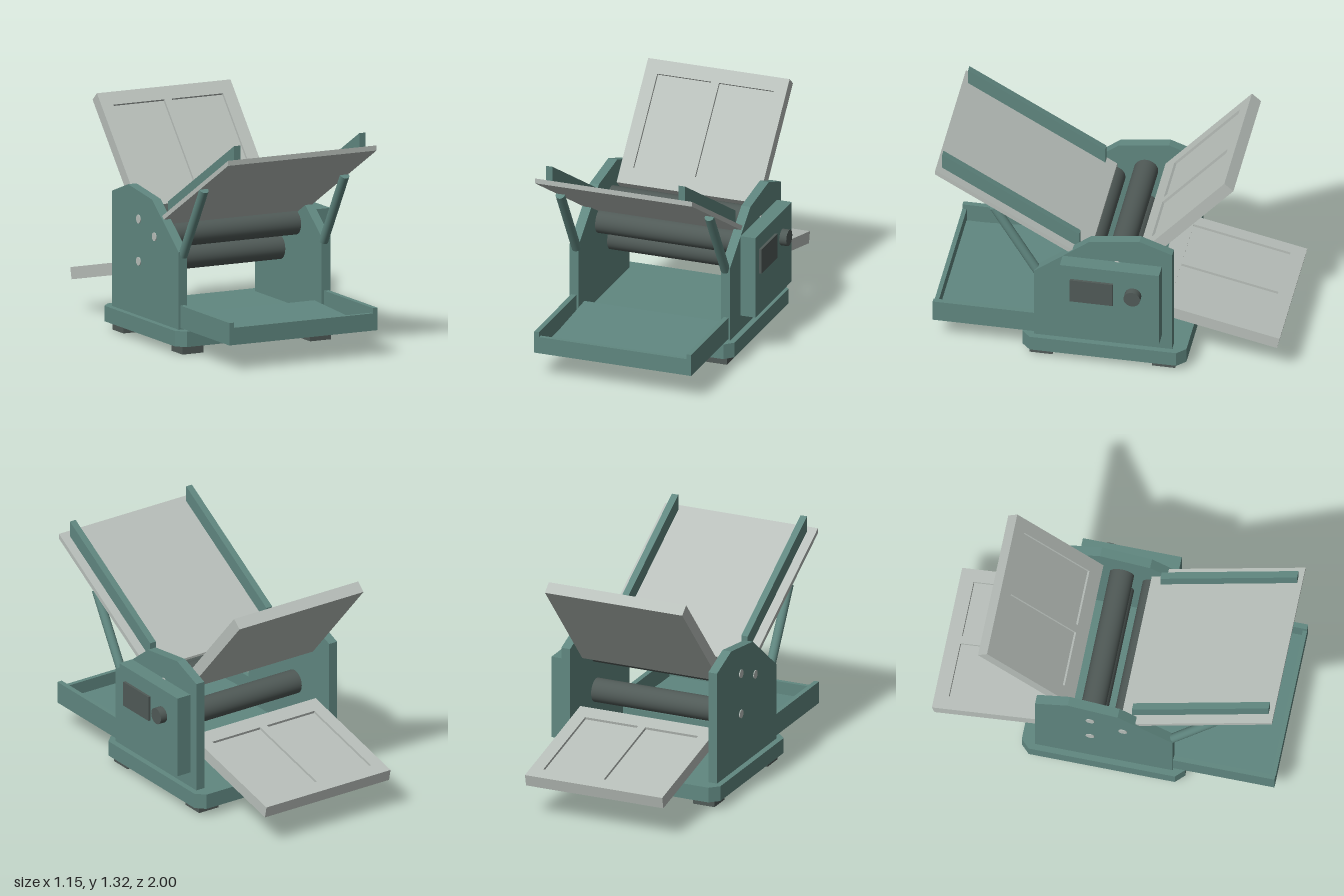
import * as THREE from 'three';

export function createModel() {
  const model = new THREE.Group();
  model.name = 'rollerMachine';
  const paint = (name, color) => {
    const m = new THREE.MeshStandardMaterial({ color });
    m.name = name;
    return m;
  };
  const teal = paint('teal paint', 0x608780);
  const grey = paint('light grey', 0xb8bfba);
  const dark = paint('dark rubber', 0x505a57);
  const CX = -0.05; // middle of the machine body

  const add = (name, geometry, material, parent = model) => {
    const mesh = new THREE.Mesh(geometry, material);
    mesh.name = name;
    parent.add(mesh);
    return mesh;
  };
  // Box given by its limits on each axis
  const box = (name, mat, x0, x1, y0, y1, z0, z1) =>
    add(name, new THREE.BoxGeometry(x1 - x0, y1 - y0, z1 - z0)
      .translate((x0 + x1) / 2, (y0 + y1) / 2, (z0 + z1) / 2), mat);
  const polygon = (pts) => new THREE.Shape(pts.map(([a, b]) => new THREE.Vector2(a, b)));
  // Side profile of [z, y] points, extruded from x0 to x1
  const profile = (name, mat, pts, x0, x1) =>
    add(name, new THREE.ExtrudeGeometry(polygon(pts), { depth: x1 - x0, bevelEnabled: false })
      .rotateY(-Math.PI / 2).translate(x1, 0, 0), mat);
  // Cylinder between two points
  const rod = (name, mat, a, b, r, sides = 32) => {
    const from = new THREE.Vector3(...a), to = new THREE.Vector3(...b);
    const dir = to.clone().sub(from);
    const mesh = add(name, new THREE.CylinderGeometry(r, r, dir.length(), sides), mat);
    mesh.position.copy(from).add(to).multiplyScalar(0.5);
    mesh.quaternion.setFromUnitVectors(new THREE.Vector3(0, 1, 0), dir.normalize());
    return mesh;
  };

  // Base slab with chamfered corners
  const w = 0.525, d = 0.475, c = 0.05;
  const outline = polygon([[-w + c, -d], [w - c, -d], [w, -d + c], [w, d - c],
    [w - c, d], [-w + c, d], [-w, d - c], [-w, -d + c]]);
  add('base', new THREE.ExtrudeGeometry(outline, { depth: 0.09, bevelEnabled: false })
    .rotateX(-Math.PI / 2).translate(CX, 0.05, 0.005), teal);

  // Feet
  for (const x of [-0.463, 0.363])
    for (const z of [0.372, -0.338])
      box('foot', dark, x - 0.068, x + 0.068, 0, 0.05, z - 0.067, z + 0.067);

  // Side plates
  const plate = [[0.41, 0.14], [0.41, 0.59], [0.09, 0.84], [-0.2, 0.88], [-0.39, 0.81], [-0.39, 0.14]];
  profile('sidePlate', teal, plate, -0.54, -0.485);
  profile('sidePlate', teal, plate, 0.385, 0.44);

  // Rollers with their axles, as [y, z]
  for (const [y, z] of [[0.7, -0.07], [0.63, 0.12], [0.455, -0.07]]) {
    rod('roller', dark, [-0.47, y, z], [0.37, y, z], 0.07, 40);
    rod('axle', grey, [-0.545, y, z], [0.445, y, z], 0.025, 24);
  }

  // Control box with screen and knob
  box('controlBox', teal, 0.44, 0.53, 0.23, 0.72, -0.33, 0.245);
  box('screen', dark, 0.53, 0.545, 0.48, 0.63, -0.065, 0.185);
  rod('knob', dark, [0.53, 0.563, -0.18], [0.573, 0.563, -0.18], 0.048);

  // Sloping feed tray, its guide rails and struts
  const top = (z) => 1.22 - 0.577 * (0.985 - z);
  const slope = (z0, z1, low, high) => [[z0, top(z0) + low], [z1, top(z1) + low],
    [z1, top(z1) + high], [z0, top(z0) + high]];
  profile('feedTray', grey, slope(0.1, 0.985, -0.03, 0), -0.53, 0.43);
  for (const side of [-1, 1]) {
    const x = CX + side * 0.405;
    profile('guideRail', teal, slope(0.16, 0.955, 0, 0.092), x - 0.02, x + 0.02);
    const sx = CX + side * 0.455;
    rod('strut', teal, [sx, 0.565, 0.395], [sx, 0.99, 0.65], 0.027);
  }

  // Front catch tray
  box('catchTrayFloor', teal, -0.53, 0.43, 0.15, 0.17, 0.41, 1);
  box('catchTrayLip', teal, -0.5, 0.4, 0.17, 0.25, 0.975, 1);
  box('catchTrayWall', teal, -0.53, -0.5, 0.17, 0.28, 0.41, 1);
  box('catchTrayWall', teal, 0.4, 0.43, 0.17, 0.28, 0.41, 1);
  profile('catchTrayDeck', teal, [[0.975, 0.16], [0.975, 0.175], [0.32, 0.21], [0.32, 0.15]], -0.485, 0.385);

  // Rear panels: a slab with two shallow rectangular pockets in its face
  const rearPanel = (name, y, z, angle) => {
    const group = new THREE.Group();
    group.name = name;
    const L = 0.76, depth = 0.015;
    const face = polygon([[-0.482, 0], [0.382, 0], [0.382, L], [-0.482, L]]);
    for (const [x0, x1] of [[-0.405, -0.075], [-0.028, 0.305]])
      face.holes.push(polygon([[x0, 0.1], [x0, 0.675], [x1, 0.675], [x1, 0.1]]));
    add('panelFrame', new THREE.ExtrudeGeometry(face, { depth, bevelEnabled: false })
      .translate(0, 0, -depth), grey, group);
    add('panelSlab', new THREE.BoxGeometry(0.864, L, 0.055)
      .translate(CX, L / 2, -depth - 0.0275), grey, group);
    group.position.set(0, y, z);
    group.rotation.x = angle;
    model.add(group);
  };
  rearPanel('upperRearPanel', 0.748, -0.18, -0.72);
  rearPanel('lowerRearPanel', 0.419, -0.26, -1.789);

  return model;
}
